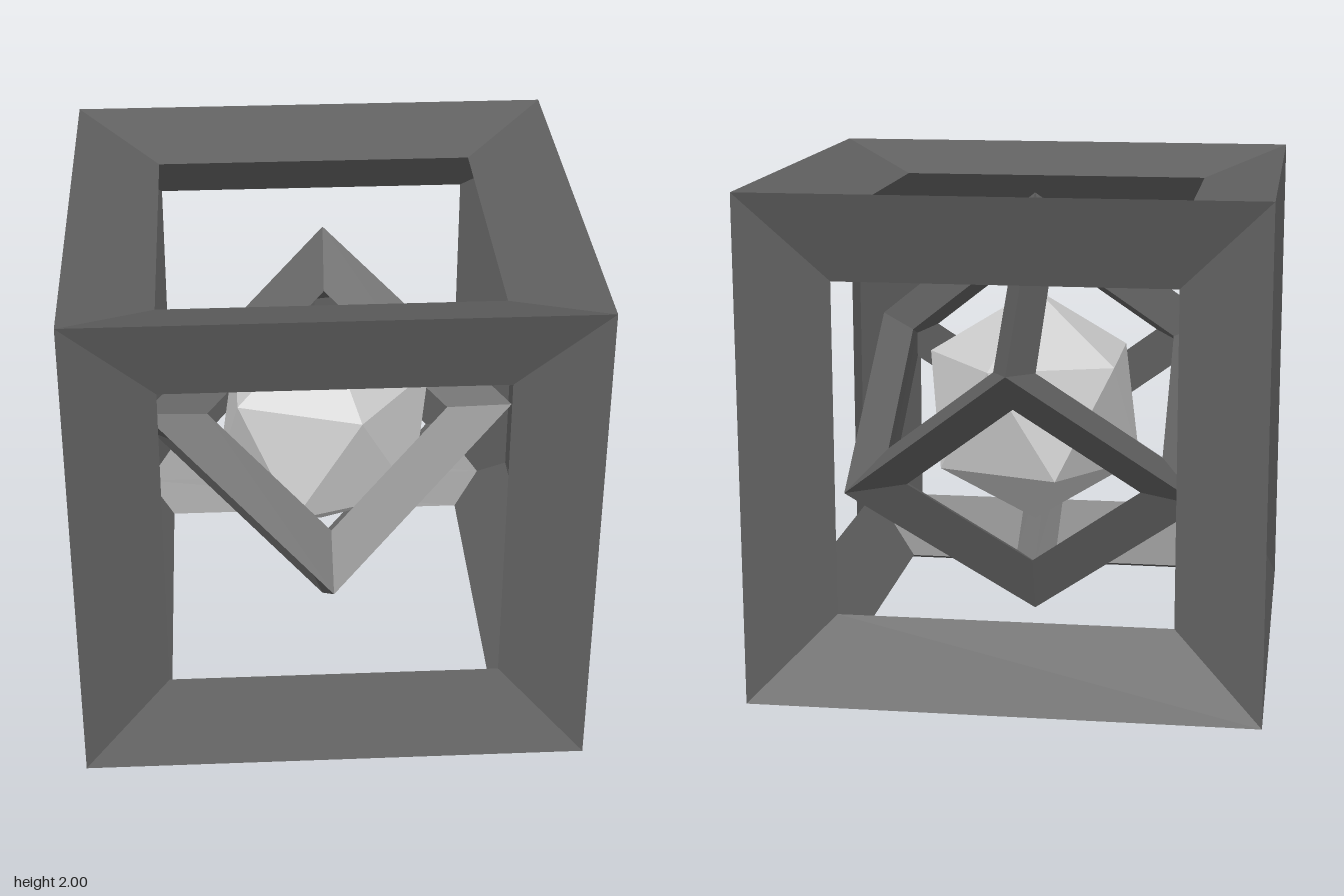
import * as THREE from 'three';
import { mergeGeometries } from 'three/addons/utils/BufferGeometryUtils.js';

// Corner of one mitred bar along x: [half length, y, z] around its section
const SECTION = [
  [1, 1, 1], // outer edge
  [0.656, 0.656, 0.885], // lip of the front opening
  [0.771, 0.771, 0.771], // inner mitre
  [0.656, 0.885, 0.656], // lip of the top opening
];

function barGeometry() {
  const pos = [];
  const n = SECTION.length;
  for (let i = 0; i < n; i++) {
    const [xa, ya, za] = SECTION[i];
    const [xb, yb, zb] = SECTION[(i + 1) % n];
    pos.push(-xa, ya, za, -xb, yb, zb, xb, yb, zb);
    pos.push(-xa, ya, za, xb, yb, zb, xa, ya, za);
  }
  const geo = new THREE.BufferGeometry();
  geo.setAttribute('position', new THREE.Float32BufferAttribute(pos, 3));
  geo.computeVertexNormals();
  return geo;
}

// Open cube: four bars along each of the three axes
function frameGeometry() {
  const bars = [];
  for (let axis = 0; axis < 3; axis++) {
    for (let k = 0; k < 4; k++) {
      const bar = barGeometry().rotateX((k * Math.PI) / 2);
      if (axis === 1) bar.rotateZ(Math.PI / 2);
      if (axis === 2) bar.rotateY(Math.PI / 2);
      bars.push(bar);
    }
  }
  return mergeGeometries(bars);
}

export function createModel() {
  const model = new THREE.Group();
  const frameMat = new THREE.MeshStandardMaterial({ color: 0x606060, flatShading: true });
  const coreMat = new THREE.MeshStandardMaterial({ color: 0xcccccc, flatShading: true });
  const frame = frameGeometry();

  const outer = new THREE.Mesh(frame, frameMat);
  outer.name = 'outerFrame';

  // Smaller frame balanced on a corner
  const inner = new THREE.Mesh(frame, frameMat);
  inner.name = 'innerFrame';
  inner.scale.setScalar(0.515);
  inner.rotation.set(Math.atan(Math.SQRT2), Math.PI / 4, 0);

  // Icosahedron with a vertex pointing straight up
  const core = new THREE.Mesh(new THREE.IcosahedronGeometry(0.493, 0), coreMat);
  core.name = 'core';
  core.rotation.z = -Math.atan(2 / (1 + Math.sqrt(5)));

  for (const part of [outer, inner, core]) {
    part.position.y = 1;
    model.add(part);
  }
  return model;
}
